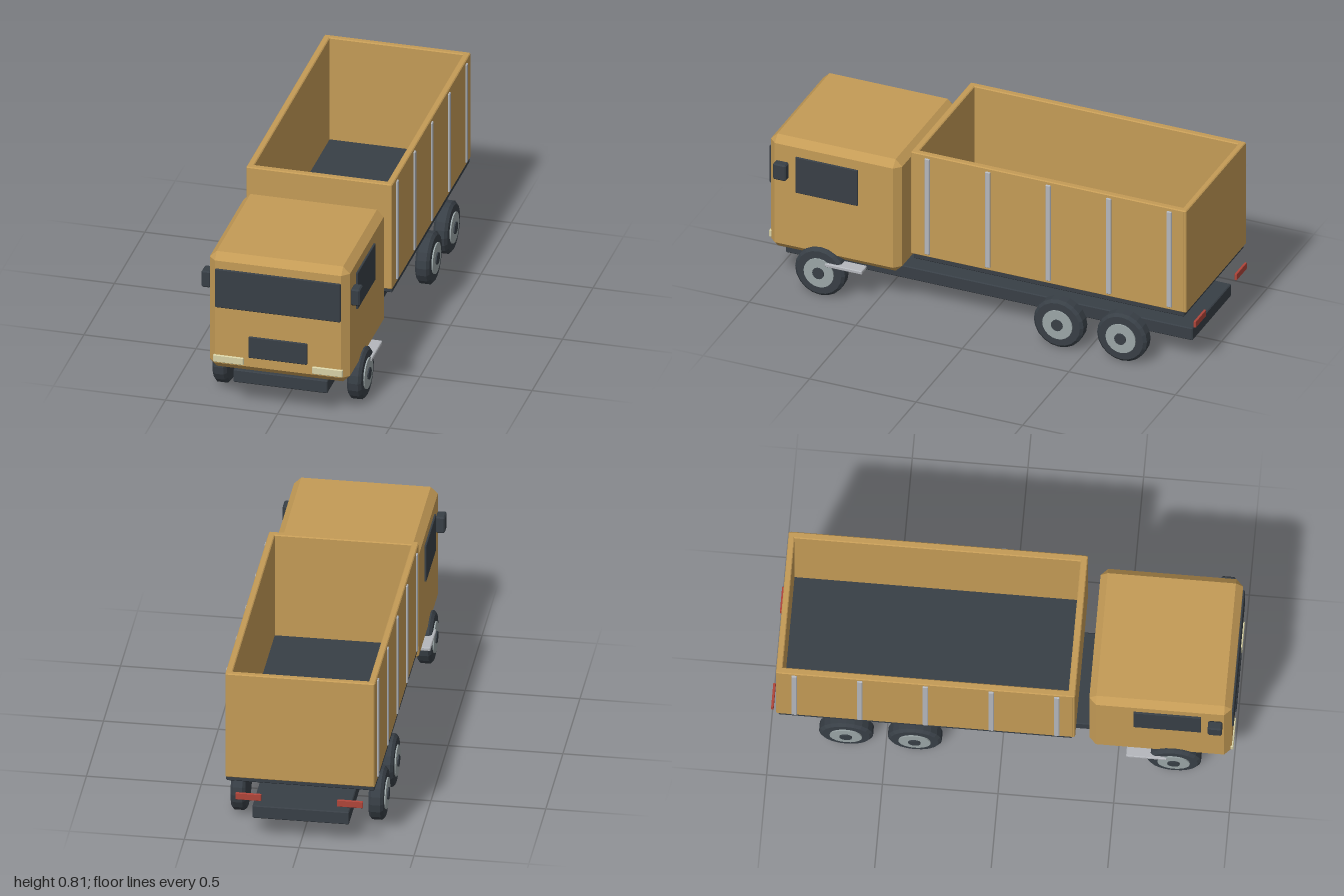
import * as THREE from 'three';
import { ConvexGeometry } from 'three/addons/geometries/ConvexGeometry.js';

const paint = (name, color) => {
  const m = new THREE.MeshStandardMaterial({ color });
  m.name = name;
  return m;
};

// Box with every edge cut by a flat chamfer
function chamferBox(w, h, d, c) {
  const pts = [];
  for (const sx of [-1, 1]) for (const sy of [-1, 1]) for (const sz of [-1, 1]) {
    const x = w / 2, y = h / 2, z = d / 2;
    pts.push(new THREE.Vector3(sx * x, sy * (y - c), sz * (z - c)));
    pts.push(new THREE.Vector3(sx * (x - c), sy * y, sz * (z - c)));
    pts.push(new THREE.Vector3(sx * (x - c), sy * (y - c), sz * z));
  }
  return new ConvexGeometry(pts);
}

export function createModel() {
  const truck = new THREE.Group();
  truck.name = 'dumpTruck';
  const ochre = paint('ochre body', 0xc49b56);
  const dark = paint('dark grey', 0x383f46);
  const steel = paint('wheel steel', 0x9aa5a6);
  const silver = paint('silver trim', 0xb4b7bc);
  const cream = paint('headlight cream', 0xd8d2a6);
  const red = paint('tail light red', 0xb0453a);

  const add = (name, geo, mat, parent = truck) => {
    const m = new THREE.Mesh(geo, mat);
    m.name = name;
    parent.add(m);
    return m;
  };
  // Box given by its extents on each axis
  const box = (name, mat, [x0, x1], [y0, y1], [z0, z1], c = 0.003) => {
    const m = add(name, chamferBox(x1 - x0, y1 - y0, z1 - z0, c), mat);
    m.position.set((x0 + x1) / 2, (y0 + y1) / 2, (z0 + z1) / 2);
    return m;
  };
  // The same box on both sides
  const pair = (name, mat, [x0, x1], y, z, c) => {
    box(name + 'Left', mat, [x0, x1], y, z, c);
    box(name + 'Right', mat, [-x1, -x0], y, z, c);
  };

  // Chassis and cab
  box('chassis', dark, [-0.21, 0.21], [0.107, 0.168], [-0.955, 0.955], 0.004);
  box('cab', ochre, [-0.313, 0.313], [0.18, 0.736], [0.376, 0.992], 0.031);

  // Cab front
  box('windscreen', dark, [-0.28, 0.28], [0.482, 0.667], [0.985, 1]);
  box('grille', dark, [-0.131, 0.131], [0.256, 0.358], [0.985, 0.999]);
  pair('headlight', cream, [0.153, 0.289], [0.216, 0.251], [0.985, 0.999]);

  // Cab sides
  pair('sideWindow', dark, [0.308, 0.321], [0.484, 0.66], [0.57, 0.862], 0.002);
  pair('mirror', dark, [0.313, 0.353], [0.547, 0.626], [0.893, 0.954], 0.006);
  pair('step', silver, [0.285, 0.343], [0.16, 0.177], [0.54, 0.715]);

  // Open cargo bed
  box('bedFloor', dark, [-0.323, 0.323], [0.288, 0.325], [-0.965, 0.305], 0.004);
  pair('bedSide', ochre, [0.297, 0.326], [0.31, 0.817], [-0.968, 0.312], 0.004);
  box('bedFront', ochre, [-0.325, 0.325], [0.31, 0.817], [0.288, 0.318], 0.004);
  box('bedBack', ochre, [-0.325, 0.325], [0.31, 0.817], [-0.975, -0.948], 0.004);
  for (let i = 0; i < 5; i++) {
    const z = 0.239 - i * 0.2838;
    pair('bedRib' + (i + 1), silver, [0.32, 0.333], [0.325, 0.801], [z - 0.012, z + 0.012]);
  }

  // Tail lights
  pair('tailLight', red, [0.165, 0.277], [0.217, 0.249], [-1, -0.989], 0.002);

  // Wheels: chamfered tyre, steel rim and dark cap, axis along x
  const tyreProfile = [[0, -0.032], [0.104, -0.032], [0.117, -0.02], [0.117, 0.02], [0.104, 0.032], [0, 0.032]]
    .map(([r, y]) => new THREE.Vector2(r, y));
  const tyreGeo = new THREE.LatheGeometry(tyreProfile, 20).toNonIndexed();
  tyreGeo.computeVertexNormals();
  const rimGeo = new THREE.CylinderGeometry(0.07, 0.07, 0.014, 20);
  const capGeo = new THREE.CylinderGeometry(0.027, 0.027, 0.014, 14);
  [['front', 0.745], ['middle', -0.375], ['rear', -0.672]].forEach(([label, z]) => {
    for (const side of [1, -1]) {
      const wheel = new THREE.Group();
      wheel.name = label + 'Wheel' + (side > 0 ? 'Left' : 'Right');
      add('tyre', tyreGeo, dark, wheel);
      add('rim', rimGeo, steel, wheel).position.y = 0.031;
      add('hubCap', capGeo, dark, wheel).position.y = 0.037;
      wheel.rotation.z = -side * Math.PI / 2;
      wheel.position.set(side * 0.3, 0.12, z);
      truck.add(wheel);
    }
  });
  return truck;
}
